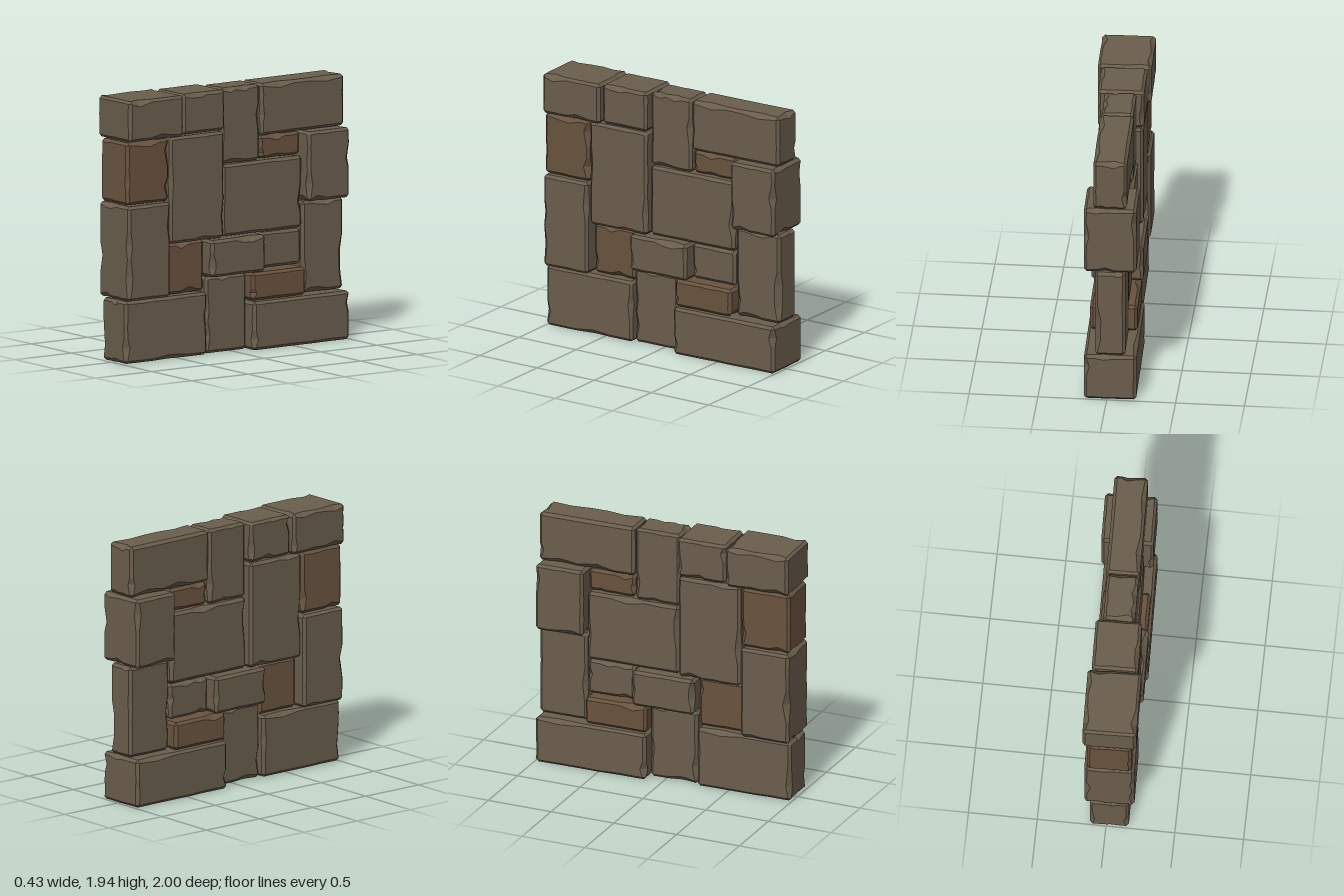
import * as THREE from 'three';

const SEG = 7; // grid lines per block side, outermost two form the bevel
const BEVEL = 0.02;

function seeded(seed) {
  let s = seed * 7919 + 17;
  return () => {
    s = (s * 16807 + 11) % 2147483647;
    return s / 2147483647;
  };
}

// Bevelled stone block with a few chipped edges
function stoneGeometry(w, h, d, seed) {
  const rnd = seeded(seed);
  for (let i = 0; i < 5; i++) rnd();
  const size = [w, h, d];
  // Uneven spacing of the grid along each axis
  const planes = size.map((s) => {
    const p = [-s / 2, -s / 2 + BEVEL];
    for (let i = 2; i < SEG - 1; i++) {
      p.push((s - 2 * BEVEL) * ((i - 1 + (rnd() - 0.5) * 0.5) / (SEG - 2) - 0.5));
    }
    return [...p, s / 2 - BEVEL, s / 2];
  });
  // Bevel width at each step of each edge, wider where the edge is chipped
  const widths = {};
  const edgeWidth = (a, sa, b, sb, t) => {
    if (t <= 1 || t >= SEG - 1) return BEVEL;
    const key = a < b ? [a, sa, b, sb, t].join() : [b, sb, a, sa, t].join();
    if (!(key in widths)) {
      widths[key] = BEVEL * (rnd() < 0.17 ? 1.4 + rnd() * 0.9 : 0.85 + rnd() * 0.3);
    }
    return widths[key];
  };

  const geo = new THREE.BoxGeometry(1, 1, 1, SEG, SEG, SEG);
  const pos = geo.attributes.position;
  for (let v = 0; v < pos.count; v++) {
    const idx = [pos.getX(v), pos.getY(v), pos.getZ(v)].map((c) => Math.round((c + 0.5) * SEG));
    const p = idx.map((i, a) => planes[a][i]);
    const side = (a) => (idx[a] * 2 < SEG ? -1 : 1);
    const outer = [0, 1, 2].filter((a) => idx[a] === 0 || idx[a] === SEG);
    if (outer.length === 3) {
      outer.forEach((a) => { p[a] -= side(a) * BEVEL * 2 / 3; });
    } else if (outer.length === 2) {
      const [a, b] = outer;
      const e = edgeWidth(a, side(a), b, side(b), idx[3 - a - b]);
      outer.forEach((o) => { p[o] -= side(o) * e / 2; });
    } else {
      const b = outer[0];
      for (const a of [0, 1, 2]) {
        if (a !== b && (idx[a] === 1 || idx[a] === SEG - 1)) {
          const e = edgeWidth(a, side(a), b, side(b), idx[3 - a - b]);
          p[a] = side(a) * (size[a] / 2 - e);
        }
      }
    }
    pos.setXYZ(v, ...p);
  }
  const flat = geo.toNonIndexed();
  flat.computeVertexNormals();
  return flat;
}

export function createModel() {
  const wall = new THREE.Group();
  wall.name = 'stoneWall';
  const stone = new THREE.MeshStandardMaterial({ color: 0x6a5d4c, flatShading: true });
  const brown = new THREE.MeshStandardMaterial({ color: 0x69533f, flatShading: true });

  // name, z front, z back, y bottom, y top, half thickness, material
  const blocks = [
    // Top course
    ['topFrontBlock', 0.996, 0.505, 1.635, 1.935, 0.195, stone],
    ['topSecondBlock', 0.495, 0.115, 1.64, 1.935, 0.168, stone],
    ['topThirdBlock', 0.11, -0.238, 1.38, 1.935, 0.115, stone],
    ['topBackBlock', -0.245, -0.996, 1.558, 1.935, 0.122, stone],
    // Middle courses
    ['upperFrontBrownBlock', 0.996, 0.615, 1.17, 1.627, 0.16, brown],
    ['tallMiddleBlock', 0.607, 0.117, 0.85, 1.63, 0.163, stone],
    ['largeCentreBlock', 0.108, -0.613, 0.85, 1.375, 0.125, stone],
    ['upperBackBrownBlock', -0.248, -0.613, 1.383, 1.55, 0.1, brown],
    ['upperBackBlock', -0.622, -0.996, 1.04, 1.552, 0.19, stone],
    ['tallFrontBlock', 0.996, 0.615, 0.468, 1.162, 0.182, stone],
    ['lowerFrontBrownBlock', 0.607, 0.257, 0.468, 0.842, 0.1, brown],
    ['lowerMiddleBlock', 0.25, -0.238, 0.572, 0.842, 0.188, stone],
    ['lowerSmallBlock', -0.245, -0.613, 0.58, 0.842, 0.11, stone],
    ['tallBackBlock', -0.622, -0.996, 0.362, 1.033, 0.11, stone],
    // Bottom course
    ['lowBrownBlock', -0.13, -0.613, 0.362, 0.565, 0.172, brown],
    ['bottomFrontBlock', 0.996, 0.257, 0.005, 0.462, 0.142, stone],
    ['bottomMiddleBlock', 0.25, -0.12, 0.005, 0.565, 0.112, stone],
    ['bottomBackBlock', -0.128, -0.996, 0, 0.355, 0.19, stone],
  ];
  blocks.forEach(([name, z1, z0, y0, y1, half, material], i) => {
    const mesh = new THREE.Mesh(stoneGeometry(half * 2, y1 - y0, z1 - z0, i + 1), material);
    mesh.name = name;
    mesh.position.set(0, (y0 + y1) / 2, (z0 + z1) / 2);
    wall.add(mesh);
  });

  // The wall stands at a slight angle
  wall.rotation.y = 0.023;
  const model = new THREE.Group();
  model.name = 'wall';
  model.add(wall);
  return model;
}
